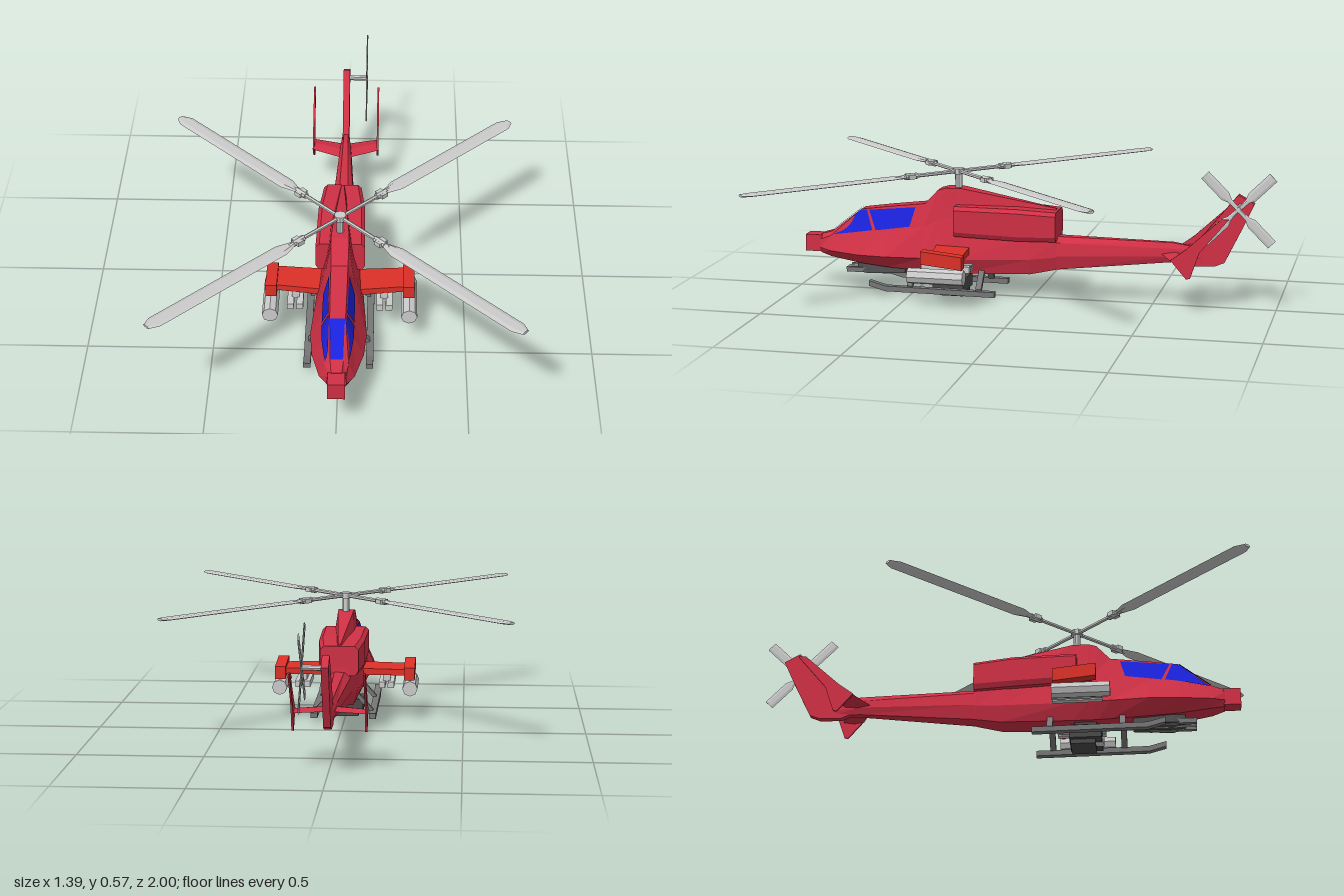
import * as THREE from 'three';

const mat = (color) => new THREE.MeshStandardMaterial({ color, flatShading: true, side: THREE.DoubleSide });
const RED = mat(0xd03045), ORANGE = mat(0xdd3028), BLUE = mat(0x1a22dd);
const GREY = mat(0xcccccc), MID = mat(0x777777), DARK = mat(0x4a4a4a);

function triangles(tris) {
  const g = new THREE.BufferGeometry();
  g.setAttribute('position', new THREE.Float32BufferAttribute(tris.flat(2), 3));
  g.computeVertexNormals();
  return g;
}

// Skin through equal-length rings of [x, y, z], capped at both ends, turned outward
function loft(rings) {
  const tris = [], n = rings[0].length;
  for (let i = 0; i < rings.length - 1; i++) {
    for (let j = 0; j < n; j++) {
      const k = (j + 1) % n, a = rings[i][j], b = rings[i][k], c = rings[i + 1][k], d = rings[i + 1][j];
      tris.push([a, b, c], [a, c, d]);
    }
  }
  const last = rings[rings.length - 1];
  for (let j = 1; j < n - 1; j++) {
    tris.push([rings[0][0], rings[0][j + 1], rings[0][j]], [last[0], last[j], last[j + 1]]);
  }
  const v = (p) => new THREE.Vector3(...p);
  const volume = tris.reduce((s, t) => s + v(t[0]).dot(v(t[1]).cross(v(t[2]))), 0);
  if (volume < 0) tris.forEach((t) => t.reverse());
  return triangles(tris);
}

// Flat plate from a [z, y] outline, centred on x
function plate(points, x, thickness) {
  const shape = new THREE.Shape(points.map((p) => new THREE.Vector2(...p)));
  return new THREE.ExtrudeGeometry(shape, { depth: thickness, bevelEnabled: false })
    .rotateY(-Math.PI / 2).translate(x + thickness / 2, 0, 0);
}

const box = (w, h, d, x, y, z) => new THREE.BoxGeometry(w, h, d).translate(x, y, z);

// Straight round bar between two points
function rod(a, b, r, sides = 8) {
  const p = new THREE.Vector3(...a), q = new THREE.Vector3(...b), dir = q.clone().sub(p);
  const g = new THREE.CylinderGeometry(r, r, dir.length(), sides);
  g.applyQuaternion(new THREE.Quaternion().setFromUnitVectors(new THREE.Vector3(0, 1, 0), dir.normalize()));
  return g.translate(...p.add(q).multiplyScalar(0.5).toArray());
}

// Body stations: z, then [height, half width] for belly, waist, shoulder and roof
const BODY = [
  [0.90, [0.157, 0.025], [0.18, 0.038], [0.215, 0.034], [0.235, 0.02]],
  [0.85, [0.145, 0.04], [0.175, 0.068], [0.235, 0.045], [0.25, 0.025]],
  [0.72, [0.125, 0.05], [0.17, 0.10], [0.26, 0.06], [0.35, 0.03]],
  [0.60, [0.115, 0.057], [0.17, 0.11], [0.27, 0.062], [0.367, 0.032]],
  [0.445, [0.107, 0.06], [0.17, 0.10], [0.295, 0.06], [0.386, 0.033]],
  [0.39, [0.105, 0.06], [0.17, 0.096], [0.32, 0.056], [0.445, 0.035]],
  [0.355, [0.105, 0.06], [0.17, 0.094], [0.33, 0.054], [0.455, 0.035]],
  [0.29, [0.105, 0.06], [0.17, 0.09], [0.33, 0.052], [0.455, 0.032]],
  [0, [0.115, 0.05], [0.18, 0.07], [0.27, 0.055], [0.403, 0.012]],
  [-0.10, [0.135, 0.038], [0.19, 0.055], [0.255, 0.048], [0.385, 0.005]],
  [-0.112, [0.138, 0.036], [0.195, 0.053], [0.25, 0.045], [0.272, 0.02]],
  [-0.58, [0.188, 0.015], [0.215, 0.026], [0.245, 0.023], [0.267, 0.01]],
  [-0.70, [0.19, 0.01], [0.21, 0.014], [0.235, 0.014], [0.25, 0.008]],
];

// Half width of the body side at (z, y)
function halfWidth(z, y) {
  const i = Math.max(0, BODY.findIndex((s) => s[0] <= z) - 1), a = BODY[i], b = BODY[i + 1];
  const t = (z - a[0]) / (b[0] - a[0]);
  const p = [1, 2, 3, 4].map((k) => a[k].map((v, c) => THREE.MathUtils.lerp(v, b[k][c], t)));
  let k = 0;
  while (k < 2 && y > p[k + 1][0]) k++;
  return THREE.MathUtils.mapLinear(y, p[k][0], p[k + 1][0], p[k][1], p[k + 1][1]);
}

// Window pane laid over the body side; corners are [z, y]
function sidePane(c, s) {
  const N = 8, tris = [], mix = THREE.MathUtils.lerp;
  const at = (u, v) => {
    const [z, y] = [0, 1].map((k) => mix(mix(c[0][k], c[3][k], u), mix(c[1][k], c[2][k], u), v));
    return [s * (halfWidth(z, y) + 0.003), y, z];
  };
  for (let i = 0; i < N; i++) {
    for (let j = 0; j < N; j++) {
      const [p, q, r, w] = [[i, j], [i + 1, j], [i + 1, j + 1], [i, j + 1]].map(([a, b]) => at(a / N, b / N));
      tris.push(...(s > 0 ? [[p, r, q], [p, w, r]] : [[p, q, r], [p, r, w]]));
    }
  }
  return triangles(tris);
}

// Rotor blade along +z: stations are [radius, half width]
function blade(stations, t) {
  return loft(stations.map(([r, w]) => [[w, 0, r], [w * 0.5, t, r], [-w * 0.5, t, r],
    [-w, 0, r], [-w * 0.5, -t, r], [w * 0.5, -t, r]]));
}

export function createModel() {
  const model = new THREE.Group();
  const add = (name, geometry, material, parent = model) => {
    const m = new THREE.Mesh(geometry, material);
    m.name = name;
    parent.add(m);
    return m;
  };

  // Body, nose and windscreen
  add('fuselage', loft(BODY.map(([z, ...p]) => [
    ...p.map(([y, w]) => [w, y, z]), ...p.map(([y, w]) => [-w, y, z]).reverse()])), RED);
  add('noseSensor', box(0.066, 0.07, 0.07, 0, 0.197, 0.93), RED);
  const f = [[-0.024, 0.256, 0.848], [0.024, 0.256, 0.848], [0.028, 0.352, 0.724], [-0.028, 0.352, 0.724]];
  add('windscreen', triangles([[f[0], f[1], f[2]], [f[0], f[2], f[3]]]), BLUE);

  // Tail fin
  add('tailFin', plate([[-0.6, 0.25], [-0.66, 0.253], [-0.84, 0.475], [-0.905, 0.44], [-0.86, 0.34],
    [-0.79, 0.195], [-0.75, 0.178], [-0.66, 0.175], [-0.6, 0.2]], 0, 0.028), RED);

  for (const s of [1, -1]) {
    const side = new THREE.Group();
    side.name = s > 0 ? 'leftSide' : 'rightSide';
    model.add(side);

    // Side windows
    add('frontWindow', sidePane([[0.845, 0.24], [0.725, 0.346], [0.695, 0.35], [0.665, 0.27]], s), BLUE, side);
    add('rearWindow', sidePane([[0.65, 0.27], [0.685, 0.35], [0.485, 0.37], [0.505, 0.292]], s), BLUE, side);

    // Engine housing
    const ring = (z, w, y0, y1) => [[0, y0, z], [w - 0.012, y0, z], [w, y0 + 0.02, z], [w, y1 - 0.015, z],
      [w - 0.015, y1, z], [0, y1, z]].map(([x, y, q]) => [x * s, y, q]);
    add('engine', loft([ring(0.31, 0.098, 0.265, 0.39), ring(0.05, 0.094, 0.257, 0.388),
      ring(-0.11, 0.077, 0.257, 0.378)]), RED, side);

    // Stub wing with end box
    const wingRing = (x, z0, z1, y0, y1) => [[x * s, y0, z0], [x * s, y1, z0], [x * s, y1 + 0.005, z1], [x * s, y0 + 0.005, z1]];
    add('stubWing', loft([wingRing(0.05, 0.25, 0.39, 0.192, 0.22), wingRing(0.25, 0.235, 0.365, 0.195, 0.22)]), ORANGE, side);
    add('wingEnd', plate([[0.225, 0.175], [0.395, 0.192], [0.395, 0.245], [0.225, 0.228]], 0.272 * s, 0.045), ORANGE, side);

    // Rocket pod and inner missiles
    add('rocketPod', rod([0.275 * s, 0.14, 0.22], [0.275 * s, 0.14, 0.45], 0.032), GREY, side);
    for (const x of [0.158, 0.195]) {
      add('missile', box(0.026, 0.026, 0.2, x * s, 0.157, 0.315), GREY, side);
    }
    add('missileRack', box(0.03, 0.035, 0.12, 0.176 * s, 0.182, 0.31), GREY, side);

    // Landing skid and struts
    add('skid', loft([[0.66, 0.062], [0.59, 0.043], [0.13, 0.04]].map(([z, y]) => [
      [0.108, y - 0.011], [0.136, y - 0.011], [0.136, y + 0.011], [0.108, y + 0.011]].map(([x, h]) => [x * s, h, z]))), MID, side);
    for (const z of [0.49, 0.2]) {
      add('skidStrut', loft([[0.05, 0.125], [0.122, 0.045]].map(([x, y]) => [
        [x, y - 0.012, z - 0.012], [x, y - 0.012, z + 0.012], [x, y + 0.012, z + 0.012],
        [x, y + 0.012, z - 0.012]].map(([a, b, c]) => [a * s, b, c]))), MID, side);
    }

    // Tailplane and its upright end plate
    add('tailplane', loft([[0.01, -0.53, -0.64], [0.14, -0.59, -0.675]].map(([x, a, b]) => [
      [x * s, 0.222, a], [x * s, 0.232, (a + b) / 2], [x * s, 0.222, b], [x * s, 0.214, (a + b) / 2]])), RED, side);
    add('endPlate', plate([[-0.59, 0.225], [-0.65, 0.27], [-0.79, 0.40], [-0.82, 0.40], [-0.705, 0.26],
      [-0.67, 0.155], [-0.655, 0.15]], 0.139 * s, 0.008), RED, side);
  }

  // Chin gun
  add('gunTurret', loft([[0.74, 0.035, 0.09], [0.69, 0.055, 0.084], [0.53, 0.05, 0.092]].map(([z, w, y]) => [
    [-w, y, z], [w, y, z], [w * 0.75, 0.13, z], [-w * 0.75, 0.13, z]])), DARK);
  add('gunBarrel', rod([0, 0.095, 0.6], [0, 0.095, 0.785], 0.011), GREY);
  for (const s of [1, -1]) add('gunRail', box(0.018, 0.02, 0.19, 0.035 * s, 0.094, 0.69), MID);

  // Belly pod
  add('bellyPod', box(0.15, 0.055, 0.13, 0, 0.053, 0.34), DARK);
  add('bellyPodBase', box(0.11, 0.02, 0.1, 0, 0.017, 0.33), DARK);
  add('bellyPodMount', box(0.08, 0.05, 0.09, 0, 0.1, 0.34), DARK);
  add('bellyLens', rod([0, 0.035, 0.36], [0, 0.035, 0.412], 0.02, 12), GREY);

  // Main rotor
  const rotor = new THREE.Group();
  rotor.name = 'mainRotor';
  rotor.position.set(0, 0.522, 0.31);
  model.add(rotor);
  add('mast', rod([0, -0.08, 0], [0, 0, 0], 0.015, 10), GREY, rotor);
  add('hub', rod([0, -0.01, 0], [0, 0.012, 0], 0.024, 10), GREY, rotor);
  for (let i = 0; i < 4; i++) {
    const arm = new THREE.Group();
    arm.name = 'mainBlade';
    arm.rotation.y = Math.PI / 4 + i * Math.PI / 2;
    rotor.add(arm);
    add('bladeArm', rod([0, 0, 0], [0, 0, 0.27], 0.008, 6), GREY, arm);
    add('bladeGrip', rod([0, 0, 0.195], [0, 0, 0.25], 0.013), GREY, arm);
    add('gripCollar', box(0.042, 0.018, 0.03, 0, 0, 0.225), GREY, arm);
    add('blade', blade([[0.25, 0.014], [0.31, 0.033], [0.93, 0.033], [0.968, 0.016]], 0.005), GREY, arm);
  }

  // Tail rotor on the left of the fin
  const tail = new THREE.Group();
  tail.name = 'tailRotor';
  tail.position.set(0.088, 0.43, -0.85);
  model.add(tail);
  add('tailShaft', rod([-0.08, 0, 0], [0.005, 0, 0], 0.011), GREY, tail);
  for (let i = 0; i < 4; i++) {
    const m = add('tailBlade', blade([[0, 0.008], [0.05, 0.01], [0.075, 0.021], [0.19, 0.021]], 0.003)
      .rotateZ(Math.PI / 2), GREY, tail);
    m.rotation.x = Math.PI / 4 + i * Math.PI / 2;
  }
  return model;
}
